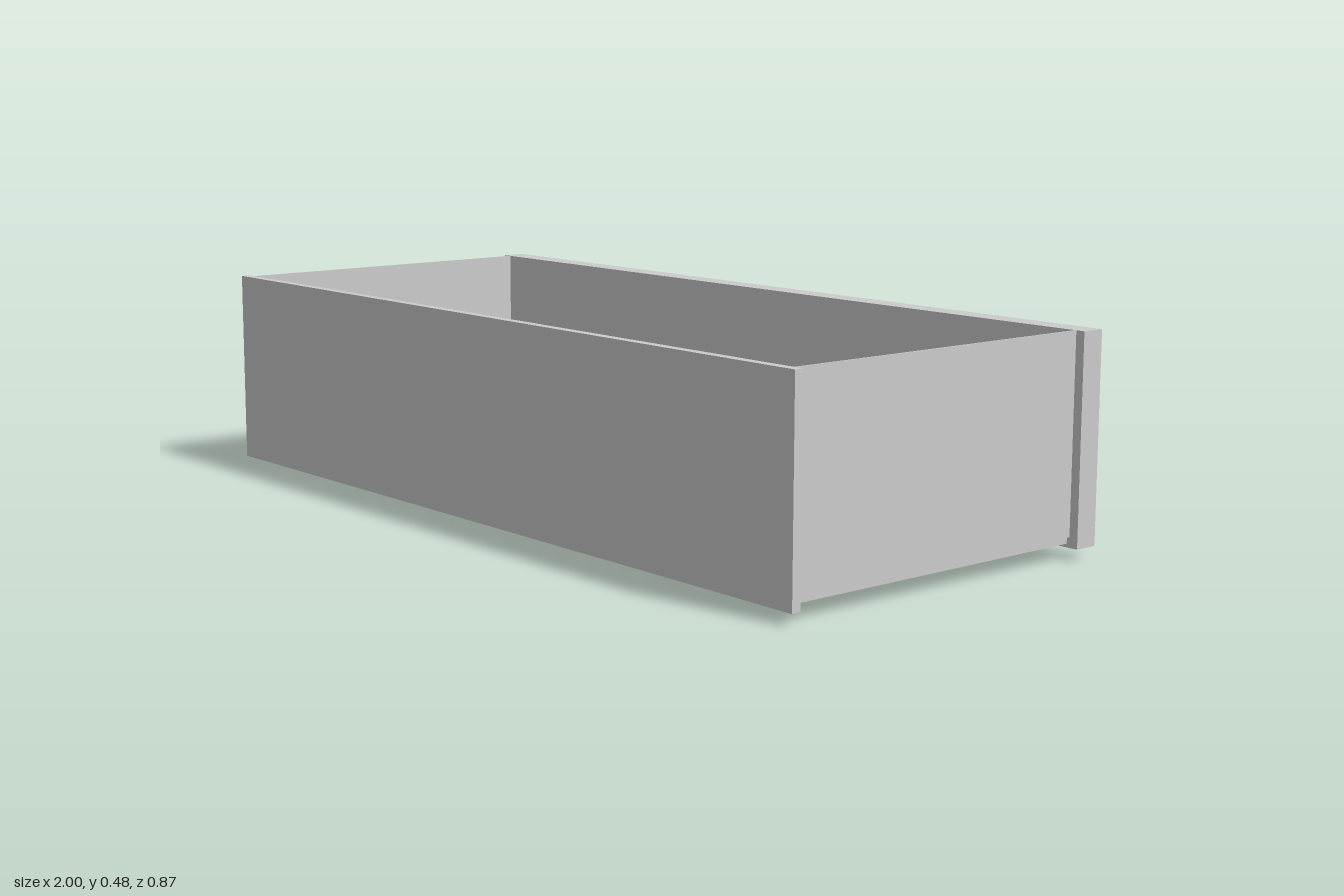
import * as THREE from 'three';

const material = new THREE.MeshStandardMaterial({ color: 0xcccccc, side: THREE.DoubleSide });

// Box given by its minimum and maximum corners
function box(name, [x0, y0, z0], [x1, y1, z1]) {
  const mesh = new THREE.Mesh(new THREE.BoxGeometry(x1 - x0, y1 - y0, z1 - z0), material);
  mesh.position.set((x0 + x1) / 2, (y0 + y1) / 2, (z0 + z1) / 2);
  mesh.name = name;
  return mesh;
}

function rectangle(path, x0, z0, x1, z1) {
  path.moveTo(x0, -z0).lineTo(x1, -z0).lineTo(x1, -z1).lineTo(x0, -z1).closePath();
  return path;
}

// Framed door with a recessed panel, lying flat
function makeDoor(x0, x1) {
  const door = new THREE.Group();
  door.name = 'door';
  const z0 = -0.371, z1 = 0.408, rail = 0.06;
  const outline = rectangle(new THREE.Shape(), x0, z0, x1, z1);
  outline.holes.push(rectangle(new THREE.Path(), x0 + rail, z0 + rail, x1 - rail, z1 - rail));
  const geometry = new THREE.ExtrudeGeometry(outline, { depth: 0.013, bevelEnabled: false });
  geometry.rotateX(-Math.PI / 2);
  const frame = new THREE.Mesh(geometry, material);
  frame.position.y = 0.035;
  frame.name = 'doorFrame';
  door.add(frame, box('doorPanel',
    [x0 + rail, 0.039, z0 + rail], [x1 - rail, 0.044, z1 - rail]));
  return door;
}

// Pull handle: an oval bar on two oval posts
function makeHandle(x) {
  const handle = new THREE.Group();
  handle.name = 'handle';
  const bar = new THREE.Mesh(new THREE.CylinderGeometry(1, 1, 0.224, 20), material);
  bar.rotation.x = Math.PI / 2;
  bar.scale.set(0.012, 1, 0.0055);
  bar.position.set(x, 0.0055, -0.203);
  bar.name = 'handleBar';
  handle.add(bar);
  for (const z of [-0.0965, -0.3095]) {
    const post = new THREE.Mesh(new THREE.CylinderGeometry(1, 1, 0.034, 20), material);
    post.scale.set(0.012, 1, 0.0055);
    post.position.set(x, 0.0225, z);
    post.name = 'handlePost';
    handle.add(post);
  }
  return handle;
}

export function createModel() {
  const model = new THREE.Group();
  model.name = 'cabinet';

  // Overhanging long boards
  model.add(
    box('baseBoard', [-1, 0.025, 0.413], [1, 0.482, 0.434]),
    box('worktop', [-1, 0.025, -0.434], [1, 0.482, -0.378]),
  );

  for (const side of [-1, 1]) {
    // Thin end wall
    const wall = box('sideWall', [-0.002, 0.048, -0.378], [0.002, 0.482, 0.413]);
    wall.position.x = side * 0.977;
    model.add(wall);

    // Pair of doors with handles beside the joint
    for (const [a, b] of [[0.004, 0.486], [0.494, 0.978]]) {
      model.add(makeDoor(Math.min(side * a, side * b), Math.max(side * a, side * b)));
    }
    for (const x of [0.456, 0.524]) model.add(makeHandle(side * x));
  }
  return model;
}
